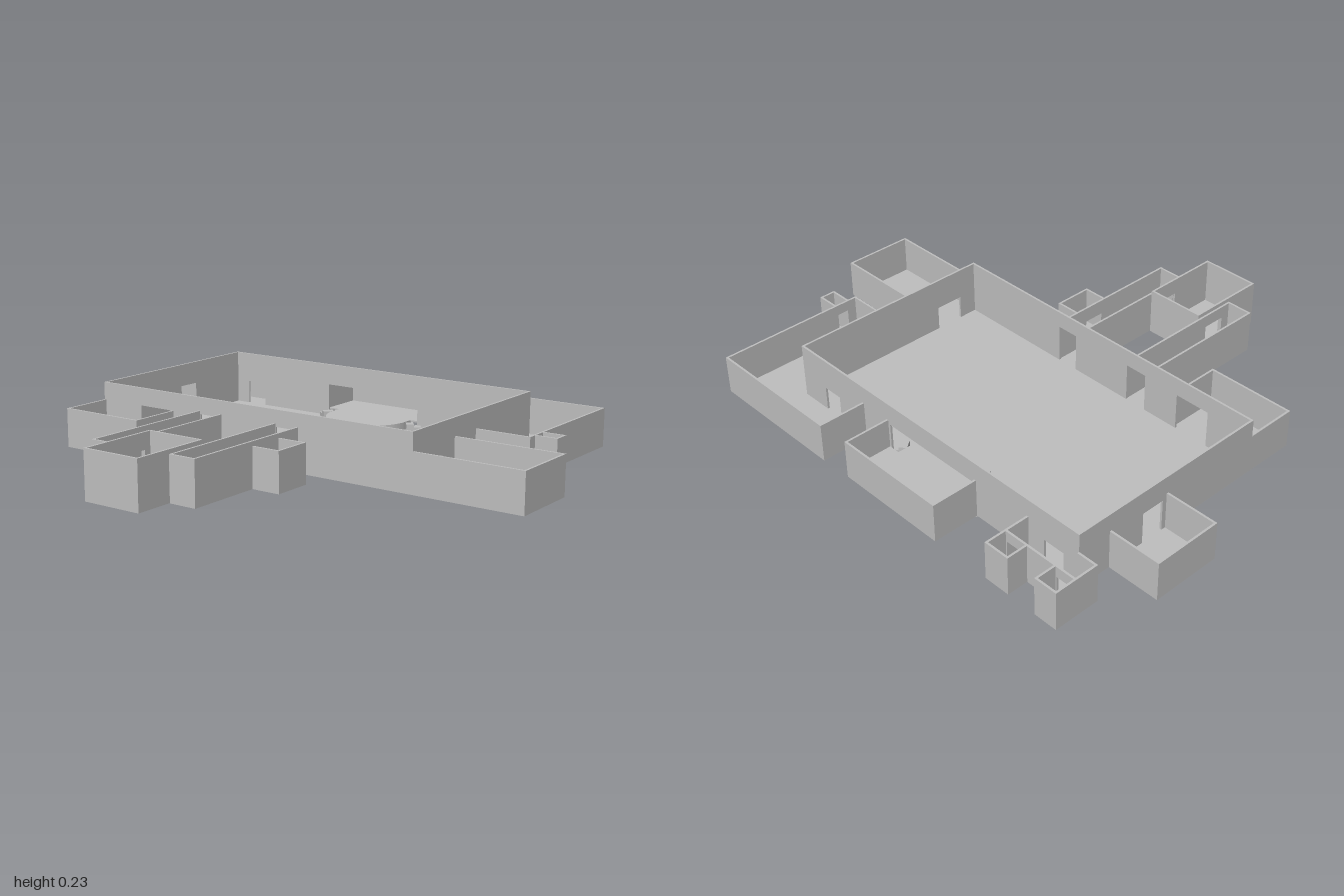
import * as THREE from 'three';

const BASE = 0.013, T = 0.008, FLOOR = 0.006;

export function createModel() {
  const model = new THREE.Group();
  model.name = 'building';
  const stone = new THREE.MeshStandardMaterial({ color: 0xbfbfbf });
  stone.name = 'plain grey';

  const add = (parent, name, geometry) => {
    const mesh = new THREE.Mesh(geometry, stone);
    mesh.name = name;
    parent.add(mesh);
    return mesh;
  };

  const slab = (parent, name, x0, x1, z0, z1, y0 = BASE, h = FLOOR) => {
    const m = add(parent, name, new THREE.BoxGeometry(x1 - x0, h, z1 - z0));
    m.position.set((x0 + x1) / 2, y0 + h / 2, (z0 + z1) / 2);
  };

  // Upright wall from a to b with door notches [from, to, top] in its lower edge
  const wall = (parent, side, at, a, b, top, doors = []) => {
    const s = new THREE.Shape();
    s.moveTo(a, BASE);
    for (const [d0, d1, dy] of doors) {
      s.lineTo(d0, BASE);
      s.lineTo(d0, dy);
      s.lineTo(d1, dy);
      s.lineTo(d1, BASE);
    }
    s.lineTo(b, BASE);
    s.lineTo(b, top);
    s.lineTo(a, top);
    const m = add(parent, side + 'Wall', new THREE.ExtrudeGeometry(s, { depth: T, bevelEnabled: false }));
    if (side === 'back' || side === 'front') {
      m.position.z = side === 'back' ? at : at - T;
    } else {
      m.rotation.y = -Math.PI / 2;
      m.position.x = side === 'right' ? at + T : at;
    }
  };

  // Open-topped room; sides maps each wall to its list of doors
  const room = (name, [x0, x1, z0, z1], top, sides, floorY = BASE) => {
    const g = new THREE.Group();
    g.name = name;
    model.add(g);
    slab(g, 'floor', x0, x1, z0, z1, floorY);
    if (sides.back) wall(g, 'back', z0, x0, x1, top, sides.back);
    if (sides.front) wall(g, 'front', z1, x0, x1, top, sides.front);
    if (sides.right) wall(g, 'right', x0, z0, z1, top, sides.right);
    if (sides.left) wall(g, 'left', x1, z0, z1, top, sides.left);
    return g;
  };

  // Main hall with doorways to every annex
  room('mainHall', [-0.797, 0.583, -0.662, 0.145], 0.227, {
    back: [[-0.73, -0.645, 0.11], [-0.32, 0.1, 0.145], [0.38, 0.46, 0.11]],
    front: [[-0.61, -0.47, 0.16], [-0.322, -0.235, 0.165], [0.02, 0.105, 0.165]],
    right: [[-0.38, -0.29, 0.14]],
    left: [[-0.045, 0.065, 0.11]],
  });

  // Side annexes
  room('rightAnnex', [-1, -0.797, -0.53, -0.265], 0.16, { back: [], front: [], right: [] });
  room('leftAnnex', [0.583, 0.998, -0.13, 0.145], 0.16, { back: [], front: [], left: [] });
  room('frontAnnex', [-0.797, -0.452, 0.145, 0.345], 0.16, { front: [], right: [], left: [] });

  // Stage, with the raised room behind it
  const STAGE = 0.042;
  room('backstage', [-0.332, 0.117, -0.84, -0.662], 0.16, { back: [], right: [], left: [] }, STAGE);
  const apron = new THREE.Shape();
  const R = 0.17, CX = -0.105, CZ = -0.625;
  apron.moveTo(CX - R, 0.662);
  apron.lineTo(CX - R, -CZ);
  apron.absarc(CX, -CZ, R, Math.PI, Math.PI * 2, false);
  apron.lineTo(CX + R, 0.662);
  const stage = add(model, 'stage', new THREE.ExtrudeGeometry(apron,
    { depth: STAGE + FLOOR - BASE, bevelEnabled: false, curveSegments: 32 }));
  stage.rotation.x = -Math.PI / 2;
  stage.position.y = BASE;

  // Angled steps on both sides of the stage
  for (const s of [-1, 1]) {
    const steps = new THREE.Group();
    steps.name = s < 0 ? 'rightSteps' : 'leftSteps';
    steps.position.set(CX + s * 0.205, 0, -0.627);
    steps.rotation.y = s * 0.65;
    model.add(steps);
    [0.042, 0.03].forEach((h, i) => {
      const m = add(steps, 'step', new THREE.BoxGeometry(0.03, h, 0.042));
      m.position.set(s * (i - 0.5) * 0.028, 0.004 + h / 2, 0);
    });
    const foot = add(steps, 'foot', new THREE.BoxGeometry(0.058, 0.014, 0.042));
    foot.position.y = 0.007;
  }

  // L-shaped back room with a small closet
  const ell = room('cornerRoom', [0.24, 0.795, -0.845, -0.662], 0.16, { back: [], right: [] });
  slab(ell, 'sideFloor', 0.583, 0.795, -0.662, -0.265);
  wall(ell, 'left', 0.795, -0.845, -0.265, 0.16, [[-0.355, -0.31, 0.12]]);
  wall(ell, 'front', -0.265, 0.583, 0.795, 0.16);
  room('closet', [0.795, 0.88, -0.365, -0.3], 0.16, { back: [], front: [], left: [] });

  // Back passage leading to two stalls
  const passage = room('backPassage', [-0.877, -0.567, -0.757, -0.662], 0.16, {
    back: [[-0.865, -0.797, 0.12], [-0.657, -0.579, 0.12]], right: [], left: [],
  });
  wall(passage, 'front', -0.662, -0.877, -0.797, 0.16);
  for (const [x0, x1] of [[-0.877, -0.785], [-0.669, -0.567]]) {
    room('stall', [x0, x1, -0.837, -0.757], 0.16, { back: [], right: [], left: [] });
  }

  // Two front corridors meeting an end room
  room('rightCorridor', [-0.332, -0.225, 0.145, 0.695], 0.177,
    { front: [], right: [], left: [[0.56, 0.65, 0.13]] });
  room('leftCorridor', [0.01, 0.117, 0.145, 0.695], 0.177,
    { front: [], right: [[0.56, 0.65, 0.13]], left: [[0.28, 0.36, 0.12]] });
  room('endRoom', [-0.225, 0.008, 0.525, 0.842], 0.192,
    { back: [], front: [], right: [[0.56, 0.65, 0.13]], left: [[0.56, 0.65, 0.13]] });
  room('sideCloset', [0.117, 0.227, 0.25, 0.4], 0.16, { back: [], front: [], left: [] });

  return model;
}
